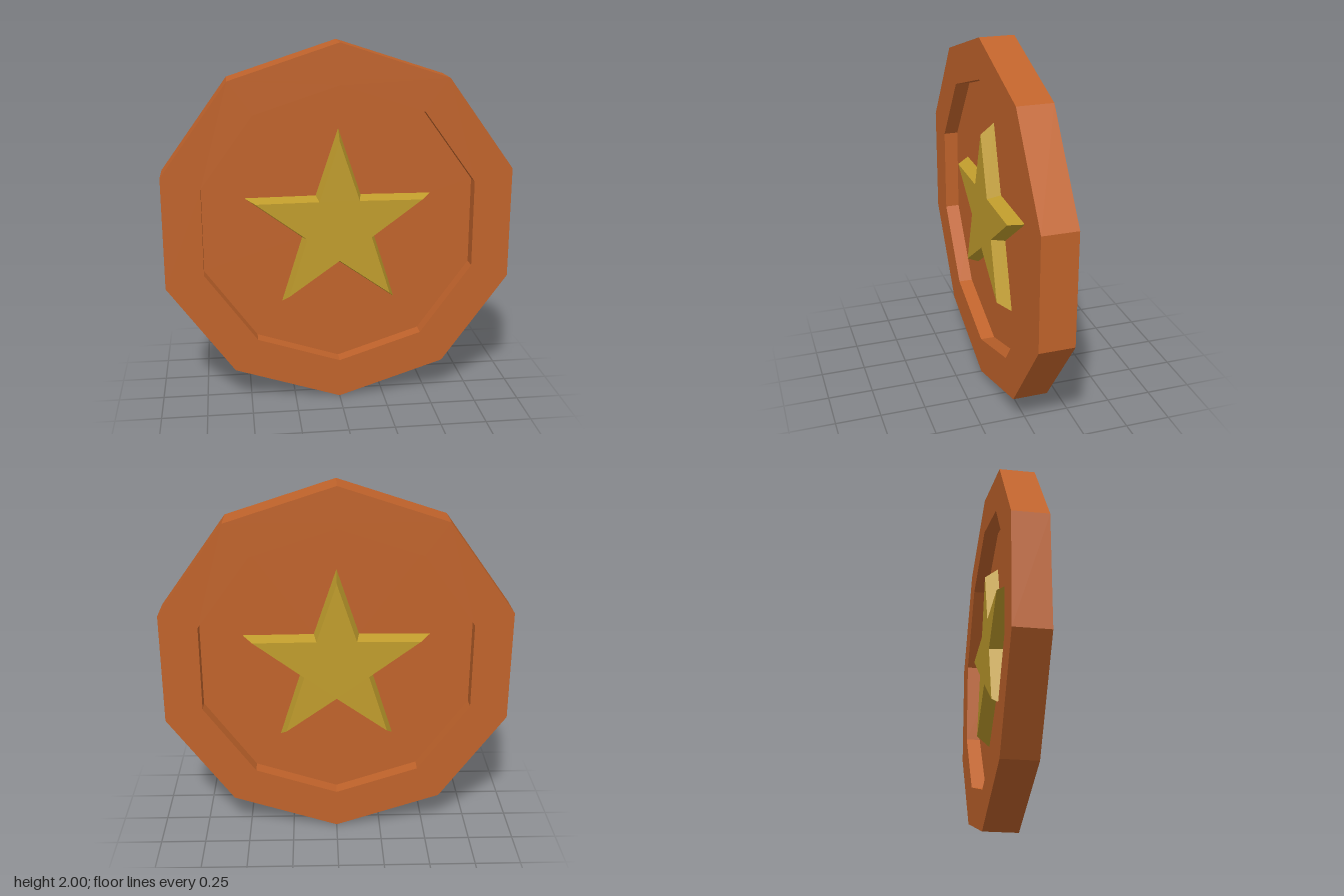
import * as THREE from 'three';

const RIM_HALF = 0.095;    // half thickness of the rim
const FLOOR_HALF = 0.015;  // half thickness of the recessed disc
const STAR_HEIGHT = 0.075;
const STAR_TAPER = 0.89;   // size of the star's face relative to its base

// Points around a circle, starting at the top; radii repeat in turn
function ringPoints(count, ...radii) {
  return Array.from({ length: count }, (_, i) => {
    const a = Math.PI / 2 + (i / count) * Math.PI * 2;
    const r = radii[i % radii.length];
    return new THREE.Vector2(Math.cos(a) * r, Math.sin(a) * r);
  });
}

// Five-pointed star that narrows towards its face
function starGeometry() {
  const geo = new THREE.ExtrudeGeometry(new THREE.Shape(ringPoints(10, 0.538, 0.21)), {
    depth: STAR_HEIGHT, bevelEnabled: false,
  });
  const p = geo.attributes.position;
  for (let i = 0; i < p.count; i++) {
    if (p.getZ(i) > STAR_HEIGHT / 2) p.setXY(i, p.getX(i) * STAR_TAPER, p.getY(i) * STAR_TAPER);
  }
  geo.computeVertexNormals();
  return geo;
}

export function createModel() {
  const model = new THREE.Group();
  model.name = 'starCoin';
  const copper = new THREE.MeshStandardMaterial({ color: 0xc0632b, flatShading: true });
  const gold = new THREE.MeshStandardMaterial({ color: 0xc09c2c, flatShading: true });

  const add = (name, geometry, material) => {
    const mesh = new THREE.Mesh(geometry, material);
    mesh.name = name;
    mesh.position.y = 1;
    model.add(mesh);
    return mesh;
  };

  // Ten-sided raised rim
  const rimShape = new THREE.Shape(ringPoints(10, 1));
  rimShape.holes.push(new THREE.Path(ringPoints(10, 0.78)));
  const rim = new THREE.ExtrudeGeometry(rimShape, { depth: RIM_HALF * 2, bevelEnabled: false });
  add('rim', rim.translate(0, 0, -RIM_HALF), copper);

  // Recessed disc inside the rim
  const disc = new THREE.CylinderGeometry(0.78, 0.78, FLOOR_HALF * 2, 10);
  add('recessedDisc', disc.rotateX(Math.PI / 2), copper);

  // One star on each side
  const star = starGeometry();
  add('frontStar', star, gold).position.z = FLOOR_HALF;
  const back = add('backStar', star, gold);
  back.position.z = -FLOOR_HALF;
  back.rotation.y = Math.PI;

  return model;
}
